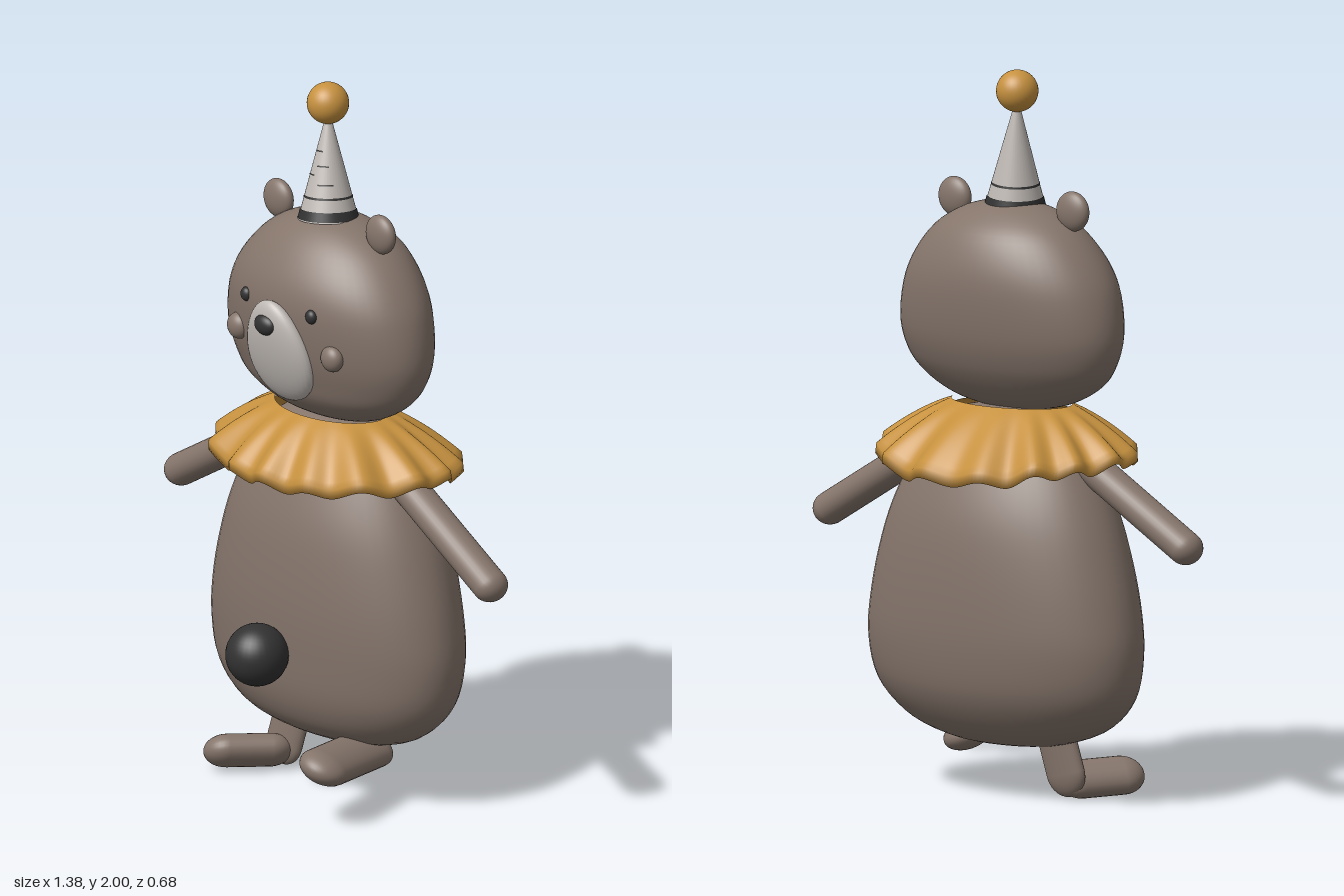
import * as THREE from 'three';
import { mergeVertices } from 'three/addons/utils/BufferGeometryUtils.js';

const mat = (name, color) => Object.assign(new THREE.MeshStandardMaterial({ color }), { name });
const V = (x, y, z) => new THREE.Vector3(x, y, z);

export function createModel() {
  const fur = mat('brown fur', 0x85756b);
  const gold = mat('gold cloth', 0xc6913f);
  const pale = mat('pale felt', 0xbfb9b4);
  const dark = mat('dark felt', 0x323232);
  const model = new THREE.Group();

  const add = (name, geometry, material, x = 0, y = 0, z = 0) => {
    const mesh = new THREE.Mesh(geometry, material);
    mesh.name = name;
    mesh.position.set(x, y, z);
    model.add(mesh);
    return mesh;
  };
  const ellipsoid = (name, material, [x, y, z], [rx, ry, rz]) => {
    const mesh = add(name, new THREE.SphereGeometry(1, 32, 24), material, x, y, z);
    mesh.scale.set(rx, ry, rz);
    return mesh;
  };

  // Surface closed around y; fn(angle, t) gives a point, rows run upward on the outside
  const skin = (cols, rows, fn) => {
    const pos = [], index = [];
    for (let j = 0; j <= rows; j++) {
      for (let i = 0; i < cols; i++) {
        pos.push(...fn((i / cols) * Math.PI * 2, j / rows).toArray());
        if (j === rows) continue;
        const a = j * cols + i, b = j * cols + ((i + 1) % cols);
        index.push(a, b, b + cols, a, b + cols, a + cols);
      }
    }
    let g = new THREE.BufferGeometry();
    g.setAttribute('position', new THREE.Float32BufferAttribute(pos, 3));
    g.setIndex(index);
    g = mergeVertices(g, 1e-5);
    g.computeVertexNormals();
    return g;
  };

  // Smooth stack of ellipses: [y, half width, front z, back z]
  const stack = (rings, cx) => {
    const size = new THREE.CatmullRomCurve3(rings.map(([y, w, f, b]) => V(w, y, (f - b) / 2)));
    const mid = new THREE.CatmullRomCurve3(rings.map(([y, , f, b], i) => V(i, y, (f + b) / 2)));
    return skin(56, 48, (a, t) => {
      const s = size.getPoint(t), m = mid.getPoint(t);
      return V(cx + Math.max(s.x, 0) * Math.sin(a), s.y, m.z + Math.max(s.z, 0) * Math.cos(a));
    });
  };

  add('body', stack([
    [0.14, 0, -0.03, -0.03], [0.155, 0.19, 0.06, -0.11], [0.21, 0.345, 0.15, -0.185],
    [0.3, 0.43, 0.192, -0.24], [0.42, 0.455, 0.207, -0.265], [0.55, 0.44, 0.213, -0.27],
    [0.7, 0.4, 0.205, -0.262], [0.8, 0.362, 0.19, -0.245], [0.9, 0.31, 0.16, -0.21],
    [1.0, 0.24, 0.12, -0.16], [1.06, 0.16, 0.08, -0.1], [1.08, 0, -0.01, -0.01],
  ], -0.01), fur);

  add('head', stack([
    [1.06, 0, 0, 0], [1.075, 0.13, 0.06, -0.05], [1.1, 0.22, 0.105, -0.09],
    [1.15, 0.305, 0.148, -0.135], [1.2, 0.345, 0.167, -0.165], [1.28, 0.368, 0.19, -0.192],
    [1.4, 0.35, 0.205, -0.206], [1.48, 0.31, 0.193, -0.198], [1.56, 0.24, 0.15, -0.165],
    [1.61, 0.16, 0.1, -0.11], [1.635, 0.075, 0.05, -0.055], [1.642, 0, 0, 0],
  ], -0.008), fur);

  // Ears, eyes and cheeks in mirrored pairs
  for (const [side, s] of [['left', 1], ['right', -1]]) {
    const x = (d) => -0.01 + s * d;
    ellipsoid(side + 'Ear', fur, [x(0.213), 1.627, 0.003], [0.055, 0.055, 0.027]);
    ellipsoid(side + 'Eye', dark, [x(0.135), 1.41, 0.186], [0.019, 0.02, 0.015]);
    ellipsoid(side + 'Cheek', fur, [x(0.195), 1.3, 0.163], [0.037, 0.037, 0.027]);
  }

  // Muzzle, wider at the bottom and leaning forward at the top
  const egg = new THREE.SphereGeometry(1, 32, 24);
  const p = egg.attributes.position;
  for (let i = 0; i < p.count; i++) p.setX(i, p.getX(i) * (1 - 0.2 * p.getY(i)));
  egg.computeVertexNormals();
  const muzzle = add('muzzle', egg, pale, -0.01, 1.283, 0.186);
  muzzle.scale.set(0.122, 0.152, 0.045);
  muzzle.rotation.x = 0.24;
  ellipsoid('nose', dark, [-0.01, 1.365, 0.235], [0.039, 0.029, 0.022]);

  // Ruffled collar: inner skin down to the rim, outer skin back up
  add('collar', skin(240, 24, (a, t) => {
    const outer = t > 0.5, k = outer ? 2 - 2 * t : 2 * t;
    const s = Math.sin(a), c = Math.cos(a);
    const wave = Math.sin(15 * a + 0.9 * Math.sin(3 * a)) * 0.7 + 0.3 * Math.sin(8 * a + 1);
    const back = c < 0 ? c * c : 0;
    const gap = outer ? 0 : -0.014;
    const flare = Math.pow(k, 0.9);
    const w = 0.19 + 0.215 * flare + 0.016 * wave * k + gap;
    const d = 0.125 + 0.18 * flare + 0.016 * wave * k + gap;
    const rim = 0.95 - 0.022 * c * c - 0.025 * back;
    const y = 1.085 + (rim - 1.085) * (0.75 * k + 0.25 * k * k) + 0.016 * wave * k + gap * 0.8;
    return V(-0.01 + w * s, y, -0.015 * k - 0.005 + d * c - 0.012 * back * k);
  }), gold);

  // Rounded limb between two points, half width w and half depth d
  const limb = (name, a, b, w, d) => {
    const dir = b.clone().sub(a), mid = a.clone().add(b).multiplyScalar(0.5);
    const mesh = add(name, new THREE.CapsuleGeometry(w, dir.length(), 10, 28), fur, ...mid.toArray());
    mesh.quaternion.setFromUnitVectors(V(0, 1, 0), dir.normalize());
    mesh.scale.z = d / w;
  };
  limb('leftArm', V(0.22, 0.97, -0.013), V(0.64, 0.725, -0.013), 0.046, 0.051);
  limb('rightArm', V(-0.24, 0.97, -0.013), V(-0.645, 0.742, -0.013), 0.046, 0.051);
  limb('leftLeg', V(0.17, 0.147, 0.02), V(0.262, 0.167, 0.258), 0.071, 0.043);
  limb('rightShin', V(-0.2, 0.075, 0), V(-0.165, 0.22, -0.015), 0.066, 0.028);
  limb('rightFoot', V(-0.212, 0.055, 0.045), V(-0.272, 0.06, 0.148), 0.064, 0.045);

  // Belly button ball
  ellipsoid('bellyBall', dark, [-0.01, 0.425, 0.265], [0.087, 0.087, 0.087]);

  // Party hat with thin dark bands, leaning toward its tip
  const hat = new THREE.Group();
  hat.name = 'partyHat';
  hat.position.set(-0.01, 1.622, 0.008);
  hat.quaternion.setFromUnitVectors(V(0, 1, 0), V(-0.024, 0.29, -0.02).normalize());
  model.add(hat);
  const H = 0.29, radius = (y) => 0.083 + (0.006 - 0.083) * (y / H);
  const cone = (name, y0, y1, extra, material, start = 0, sweep = Math.PI * 2) => {
    const g = new THREE.CylinderGeometry(radius(y1) + extra, radius(y0) + extra, y1 - y0, 40, 1, extra > 0, start, sweep);
    const mesh = new THREE.Mesh(g, material);
    mesh.name = name;
    mesh.position.y = (y0 + y1) / 2;
    hat.add(mesh);
  };
  cone('hatCone', 0, H, 0, pale);
  cone('hatBrim', 0.004, 0.03, 0.002, dark);
  cone('hatBand', 0.062, 0.068, 0.001, dark);
  [[0.1, 0.3], [0.125, -0.8], [0.15, 0.1], [0.19, -0.4]].forEach(([y, start]) =>
    cone('hatDash', y, y + 0.004, 0.001, dark, start, 0.8));
  ellipsoid('hatPompom', gold, [-0.035, 1.943, -0.012], [0.058, 0.058, 0.058]);

  return model;
}
